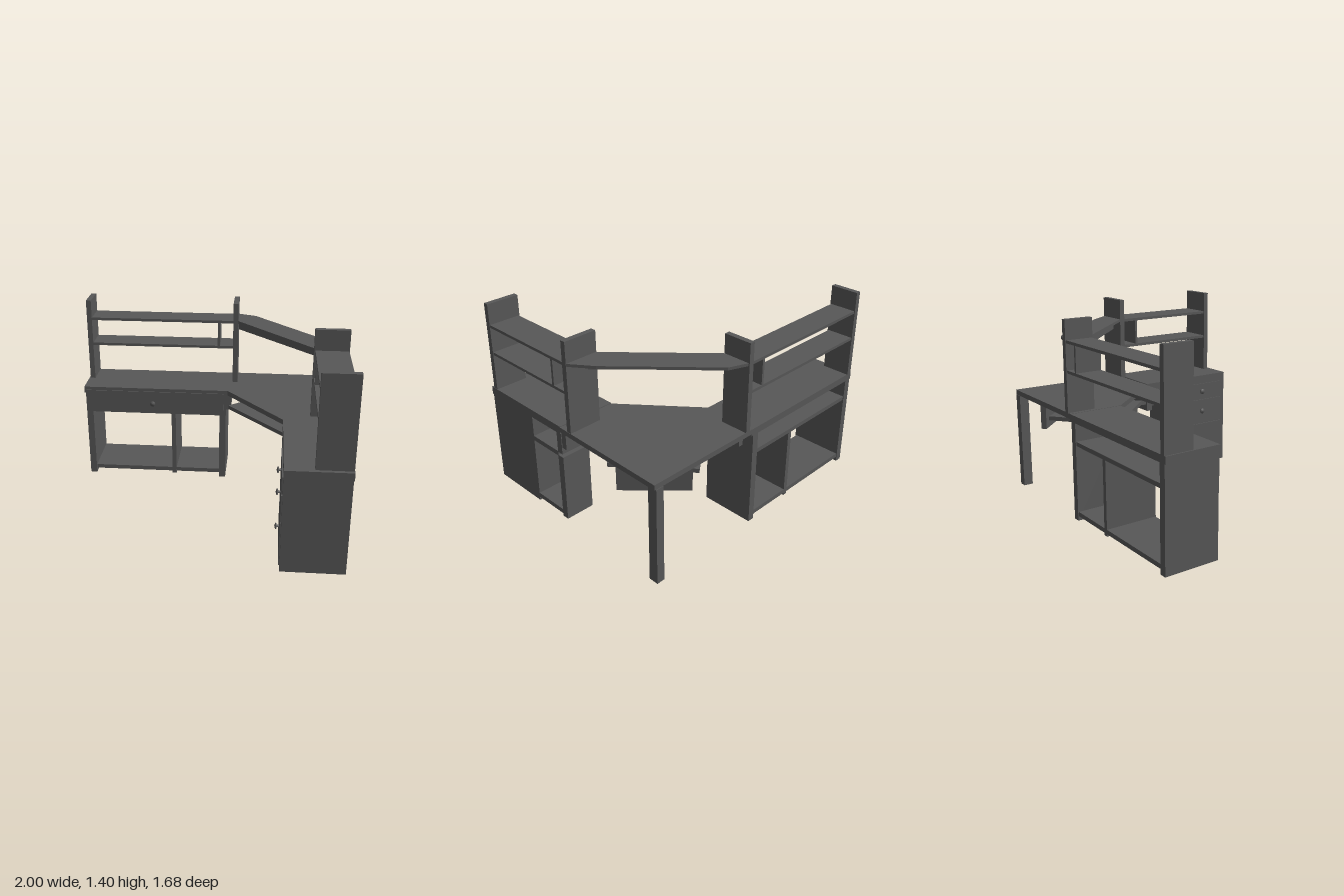
import * as THREE from 'three';

const material = new THREE.MeshStandardMaterial({ color: 0x575757 });

export function createModel() {
  const desk = new THREE.Group();
  desk.name = 'cornerDesk';

  const group = (name) => {
    const g = new THREE.Group();
    g.name = name;
    desk.add(g);
    return g;
  };
  const add = (parent, name, geometry) => {
    const mesh = new THREE.Mesh(geometry, material);
    mesh.name = name;
    parent.add(mesh);
    return mesh;
  };
  // Board given by its limits on each axis
  const board = (parent, name, [x0, x1], [y0, y1], [z0, z1]) =>
    add(parent, name, new THREE.BoxGeometry(x1 - x0, y1 - y0, z1 - z0))
      .position.set((x0 + x1) / 2, (y0 + y1) / 2, (z0 + z1) / 2);
  // Horizontal slab from an [x, z] outline
  const slab = (parent, name, outline, y0, y1) => {
    const shape = new THREE.Shape(outline.map(([x, z]) => new THREE.Vector2(x, -z)));
    const g = new THREE.ExtrudeGeometry(shape, { depth: y1 - y0, bevelEnabled: false });
    add(parent, name, g.rotateX(-Math.PI / 2).translate(0, y0, 0));
  };
  // Diagonal board from p to q, thickened towards the back corner
  const diagonal = (parent, name, p, q, depth, y0, y1) => {
    const dx = q[0] - p[0], dz = q[1] - p[1], l = Math.hypot(dx, dz);
    const ox = dz / l * depth, oz = -dx / l * depth;
    slab(parent, name, [p, q, [q[0] + ox, q[1] + oz], [p[0] + ox, p[1] + oz]], y0, y1);
  };
  // Turned knob pointing along +z
  const knob = (parent, x, y, z, turn) => {
    const profile = [[0, 0], [0.009, 0], [0.008, 0.016], [0.021, 0.02], [0.021, 0.028], [0, 0.034]];
    const g = new THREE.LatheGeometry(profile.map(([r, h]) => new THREE.Vector2(r, h)), 16);
    const mesh = add(parent, 'knob', g.rotateX(Math.PI / 2).rotateY(turn));
    mesh.position.set(x, y, z);
  };

  // Back wing with one wide drawer, open below
  const back = group('backWing');
  board(back, 'top', [-1, 0.13], [0.7, 0.75], [-0.835, -0.44]);
  for (const x of [-0.99, 0.06]) board(back, 'sidePanel', [x, x + 0.05], [0, 0.7], [-0.835, -0.44]);
  board(back, 'divider', [-0.318, -0.285], [0.015, 0.54], [-0.83, -0.445]);
  board(back, 'bottomShelf', [-0.94, 0.06], [0.032, 0.064], [-0.83, -0.45]);
  board(back, 'drawerShelf', [-0.94, 0.06], [0.54, 0.57], [-0.83, -0.445]);
  board(back, 'drawerFront', [-0.985, 0.09], [0.545, 0.725], [-0.46, -0.433]);
  knob(back, -0.46, 0.635, -0.433, 0);

  // Side wing with a drawer cabinet and an open niche
  const side = group('sideWing');
  board(side, 'top', [0.545, 0.985], [0.7, 0.757], [0.065, 0.838]);
  board(side, 'cabinet', [0.545, 0.98], [0.003, 0.7], [0.38, 0.835]);
  for (const [y0, y1, k] of [[0.565, 0.69, 0.63], [0.36, 0.555, 0.465], [0.03, 0.35, 0.2]]) {
    board(side, 'drawerFront', [0.536, 0.55], [y0, y1], [0.39, 0.8]);
    knob(side, 0.538, k, 0.59, -Math.PI / 2);
  }
  board(side, 'nicheEnd', [0.76, 0.98], [0.01, 0.515], [0.06, 0.112]);
  for (const y of [0.03, 0.51]) board(side, 'nicheShelf', [0.76, 0.98], [y, y + 0.035], [0.11, 0.38]);
  board(side, 'apron', [0.545, 0.98], [0.54, 0.7], [0.065, 0.112]);

  // Corner section
  const corner = group('cornerSection');
  slab(corner, 'top', [[0.12, -0.44], [0.12, -0.835], [0.995, -0.83], [0.985, 0.07], [0.55, 0.07]], 0.715, 0.752);
  board(corner, 'leg', [0.925, 0.985], [0, 0.715], [-0.835, -0.765]);
  diagonal(corner, 'modestyPanel', [0.615, -0.775], [0.945, -0.437], 0.04, 0.52, 0.715);
  slab(corner, 'keyboardTray', [[0.13, -0.44], [0.55, 0.02], [0.92, -0.32], [0.56, -0.78]], 0.6, 0.63);
  board(corner, 'trayBracket', [0.11, 0.148], [0.59, 0.71], [-0.75, -0.45]);
  board(corner, 'trayBracket', [0.56, 0.975], [0.59, 0.71], [0.022, 0.065]);

  // Open shelving above both wings
  const hutch = group('hutch');
  for (const x of [-0.99, 0.15]) board(hutch, 'backUpright', [x, x + 0.038], [0.75, 1.388], [-0.838, -0.632]);
  for (const z of [-0.048, 0.775]) board(hutch, 'sideUpright', [0.74, 0.983], [0.75, 1.4], [z, z + 0.038]);
  for (const y of [1.026, 1.23]) {
    board(hutch, 'backShelf', [-0.955, 0.152], [y, y + 0.02], [-0.832, -0.64]);
    board(hutch, 'sideShelf', [0.748, 0.98], [y, y + 0.02], [-0.012, 0.778]);
  }
  board(hutch, 'backDivider', [0.03, 0.048], [1.046, 1.23], [-0.83, -0.64]);
  board(hutch, 'sideDivider', [0.75, 0.98], [1.046, 1.23], [0.096, 0.114]);
  slab(hutch, 'cornerShelf',
    [[0.188, -0.635], [0.188, -0.83], [0.32, -0.78], [0.87, -0.2], [0.98, -0.048], [0.745, -0.048]], 1.232, 1.252);
  diagonal(hutch, 'cornerRail', [0.19, -0.69], [0.82, -0.06], 0.02, 1.17, 1.235);

  return desk;
}
